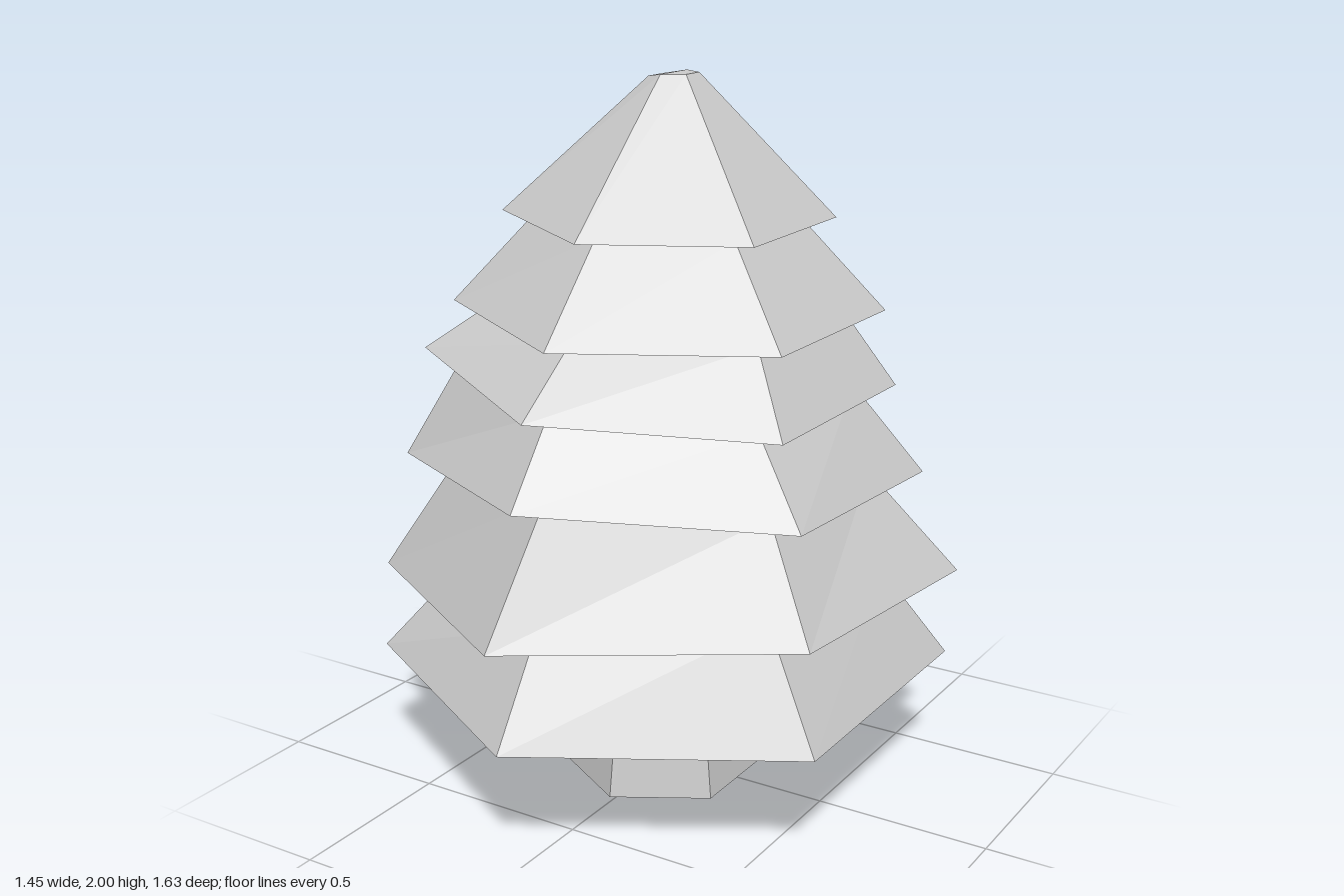
import * as THREE from 'three';

const SIDES = 6;
const material = new THREE.MeshStandardMaterial({ color: 0xcccccc, flatShading: true });

// Six-sided ring; corner 0 faces the front, then runs towards +x.
// y is one height, or six heights for an uneven rim.
function ring(radius, y, { x = 0, z = 0, yaw = 0 } = {}) {
  return Array.from({ length: SIDES }, (_, k) => {
    const angle = (k / SIDES) * Math.PI * 2 + yaw;
    return [
      x + Math.sin(angle) * radius,
      Array.isArray(y) ? y[k] : y,
      z + Math.cos(angle) * radius,
    ];
  });
}

// Skin over successive rings, with flat facets
function loft(name, rings) {
  const positions = [];
  for (let i = 0; i < rings.length - 1; i++) {
    const a = rings[i], b = rings[i + 1];
    for (let k = 0; k < SIDES; k++) {
      const n = (k + 1) % SIDES;
      positions.push(...a[k], ...a[n], ...b[n], ...a[k], ...b[n], ...b[k]);
    }
  }
  const geometry = new THREE.BufferGeometry();
  geometry.setAttribute('position', new THREE.Float32BufferAttribute(positions, 3));
  geometry.computeVertexNormals();
  const mesh = new THREE.Mesh(geometry, material);
  mesh.name = name;
  return mesh;
}

// Branch tiers, bottom to top: rim radius, radius where the next tier starts,
// rim heights by corner (front, left front, left back, back, right back, right front)
const TIERS = [
  { rim: 0.81, top: 0.60, y: 0.35, at: { x: -0.015 } },
  { rim: 0.815, top: 0.57, y: [0.625, 0.66, 0.62, 0.595, 0.57, 0.59], at: { yaw: -0.05 } },
  { rim: 0.72, top: 0.53, y: [0.985, 0.94, 0.905, 0.935, 0.93, 0.945], at: { z: 0.025 } },
  { rim: 0.647, top: 0.475, y: [1.2, 1.155, 1.155, 1.205, 1.25, 1.25], at: { x: -0.01, z: 0.03 } },
  { rim: 0.59, top: 0.355, y: [1.365, 1.36, 1.36, 1.38, 1.385, 1.38], at: {} },
  { rim: 0.45, top: 0.067, y: [1.615, 1.61, 1.615, 1.625, 1.635, 1.63], at: {} },
];
const TIP = { y: [2, 2, 2, 2, 1.99, 1.99], at: { x: 0.015 } };

export function createModel() {
  const model = new THREE.Group();
  model.name = 'firTree';

  // Tapered trunk, reaching up into the hollow of the lowest tier
  const foot = { x: -0.015, z: 0.008 };
  model.add(loft('trunk', [
    ring(0, 0, foot),
    ring(0.285, 0, foot),
    ring(0.17, 0.8, foot),
  ]));

  const foliage = new THREE.Group();
  foliage.name = 'foliage';
  model.add(foliage);

  // Hollow inside the lowest tier, from its ceiling down to the rim
  const base = TIERS[0].at;
  foliage.add(loft('innerHollow', [
    ring(0, 0.8, base),
    ring(0.4, 0.8, base),
    ring(0.57, 0.52, base),
    ring(0.59, 0.35, base),
  ]));

  // Each tier: underside, sloping boughs, and a cap on the last one
  TIERS.forEach((tier, i) => {
    const below = TIERS[i - 1];
    const next = TIERS[i + 1] ?? TIP;
    const start = below ? ring(below.top, tier.y, tier.at) : ring(0.59, 0.35, base);
    const rings = [
      start,
      ring(tier.rim, tier.y, tier.at),
      ring(tier.top, next.y, next.at),
    ];
    if (next === TIP) rings.push(ring(0, 2, TIP.at));
    foliage.add(loft(`branchTier${i + 1}`, rings));
  });

  return model;
}
